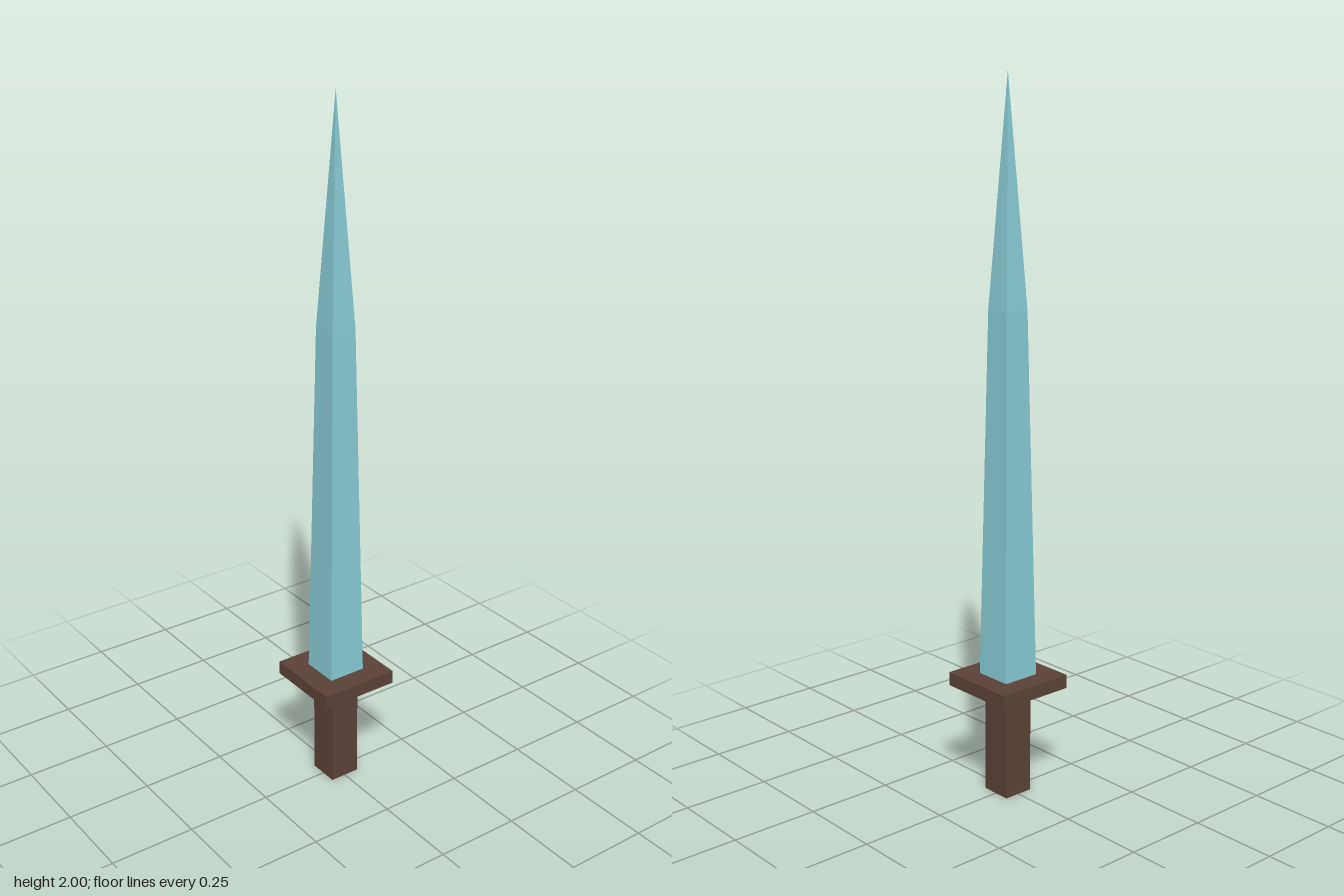
import * as THREE from 'three';

const brown = new THREE.MeshStandardMaterial({ color: 0x5a4238, flatShading: true });
const ice = new THREE.MeshStandardMaterial({ color: 0x86cad2, flatShading: true });

// square box standing between two heights
function squareBlock(name, width, bottom, top) {
  const mesh = new THREE.Mesh(new THREE.BoxGeometry(width, top - bottom, width), brown);
  mesh.name = name;
  mesh.position.y = (bottom + top) / 2;
  return mesh;
}

export function createModel() {
  const sword = new THREE.Group();
  sword.name = 'sword';

  // grip and cross guard
  sword.add(squareBlock('grip', 0.09, 0, 0.312));
  sword.add(squareBlock('guard', 0.234, 0.312, 0.351));

  // four-sided blade: [half width, height], slow taper then a long point
  const profile = [[0, 0.351], [0.056, 0.351], [0.037, 1.38], [0, 2]]
    .map(([half, y]) => new THREE.Vector2(half * Math.SQRT2, y));
  const blade = new THREE.Mesh(new THREE.LatheGeometry(profile, 4, Math.PI / 4), ice);
  blade.name = 'blade';
  sword.add(blade);

  return sword;
}
